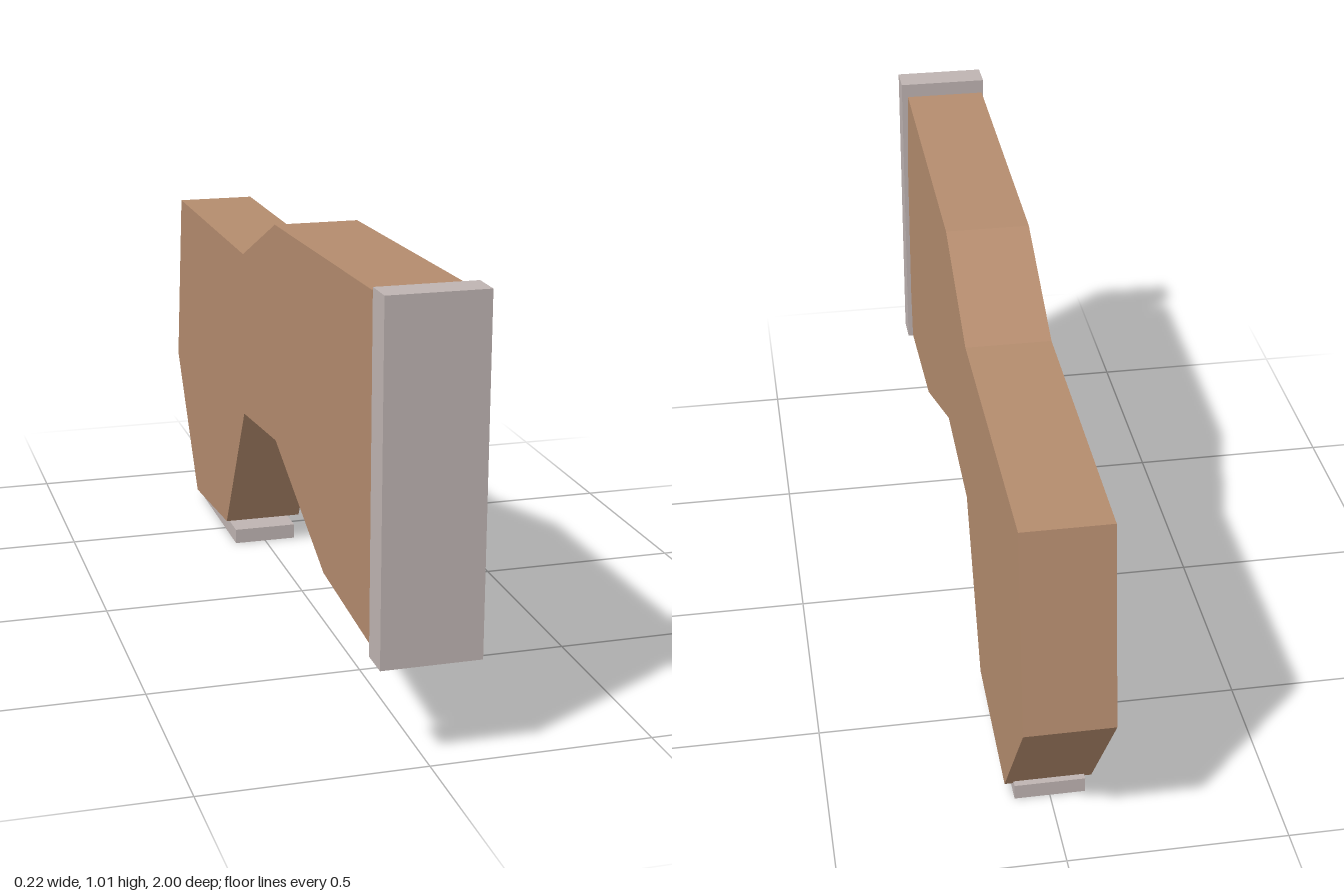
import * as THREE from 'three';

const wood = new THREE.MeshStandardMaterial({ color: 0xb48c6e });
wood.name = 'wood';
const metal = new THREE.MeshStandardMaterial({ color: 0xbfb4b2 });
metal.name = 'pale grey metal';

// Box given by its width (centred on x) and its y and z extents
function plate(name, width, y0, y1, z0, z1) {
  const mesh = new THREE.Mesh(new THREE.BoxGeometry(width, y1 - y0, z1 - z0), metal);
  mesh.position.set(0, (y0 + y1) / 2, (z0 + z1) / 2);
  mesh.name = name;
  return mesh;
}

export function createModel() {
  const group = new THREE.Group();
  group.name = 'stock';

  // Wooden body: side outline as (z, y), extruded across x
  const outline = [
    [0.925, 0.79], [0.88, 0.993], [0.125, 0.973], [-0.19, 0.836], [-0.92, 0.836],
    [-1, 0.37], [-0.765, 0.024], [-0.4, 0.056], [-0.19, 0.421], [0.125, 0.447],
    [0.545, 0.266], [0.905, 0.24], [0.925, 0.37],
  ].map(([z, y]) => new THREE.Vector2(z, y));
  const geometry = new THREE.ExtrudeGeometry(new THREE.Shape(outline), { depth: 0.2, bevelEnabled: false });
  geometry.translate(0, 0, -0.1);
  geometry.rotateY(-Math.PI / 2);
  const body = new THREE.Mesh(geometry, wood);
  body.name = 'woodenBody';
  group.add(body);

  // End plate at the front and cap under the grip
  group.add(plate('endPlate', 0.222, 0.227, 1.009, 0.925, 1));
  group.add(plate('gripCap', 0.162, 0, 0.038, -0.79, -0.375));

  return group;
}
